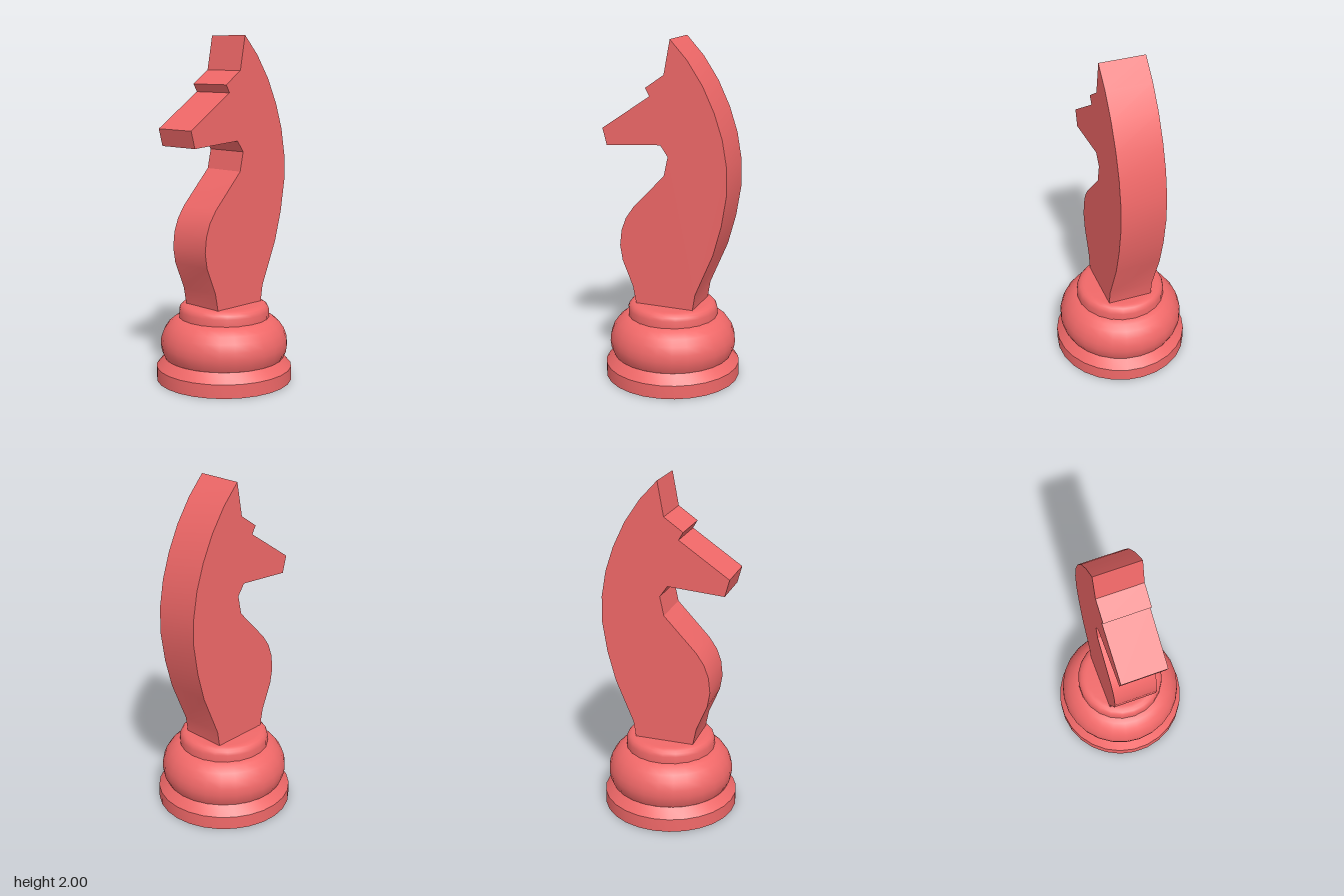
import * as THREE from 'three';
import { toCreasedNormals } from 'three/addons/utils/BufferGeometryUtils.js';

const CREASE = THREE.MathUtils.degToRad(30);

export function createModel() {
  const group = new THREE.Group();
  group.name = 'chessKnight';
  const material = new THREE.MeshStandardMaterial({ color: 0xf06868 });

  function add(name, geometry) {
    const mesh = new THREE.Mesh(toCreasedNormals(geometry, CREASE), material);
    mesh.name = name;
    group.add(mesh);
    return mesh;
  }

  // Turned part from [radius, height] pairs, bottom to top
  function turned(name, profile, sides) {
    const points = profile.map(([r, y]) => new THREE.Vector2(r, y));
    return add(name, new THREE.LatheGeometry(points, sides, Math.PI / 2));
  }

  // Stepped pedestal: foot, rounded bulge and collar
  turned('foot', [[0, 0], [0.398, 0], [0.398, 0.08], [0.35, 0.135], [0, 0.135]], 27).position.x = -0.001;
  turned('bulge', [
    [0, 0.135], [0.35, 0.135], [0.367, 0.17], [0.373, 0.21], [0.37, 0.25],
    [0.354, 0.295], [0.328, 0.333], [0.295, 0.36], [0.262, 0.375], [0, 0.375],
  ], 26);
  turned('collar', [
    [0, 0.37], [0.265, 0.37], [0.265, 0.415], [0.259, 0.433], [0.248, 0.446],
    [0.23, 0.454], [0.21, 0.456], [0, 0.456],
  ], 22);

  // Horse silhouette: neck front, jaw, muzzle, brow, ear, then mane
  const outline = [
    [-0.178, 0.45], [-0.199, 0.557], [-0.263, 0.71], [-0.278, 0.8], [-0.268, 0.89],
    [-0.241, 0.965], [-0.194, 1.034], [-0.003, 1.236], [0.021, 1.347], [-0.024, 1.411],
    [-0.353, 1.387], [-0.379, 1.485], [-0.088, 1.682], [-0.114, 1.727], [-0.003, 1.804],
    [0.034, 2], [0.135, 1.89], [0.225, 1.755], [0.294, 1.61], [0.342, 1.465],
    [0.369, 1.31], [0.371, 1.157], [0.342, 0.976], [0.294, 0.8], [0.188, 0.55], [0.172, 0.45],
  ].map(([x, y]) => new THREE.Vector2(x, y));
  const depth = 0.265;
  const horse = new THREE.ExtrudeGeometry(new THREE.Shape(outline), { depth, bevelEnabled: false });
  horse.translate(0, 0, -depth / 2);
  add('horseHead', horse);

  return group;
}
